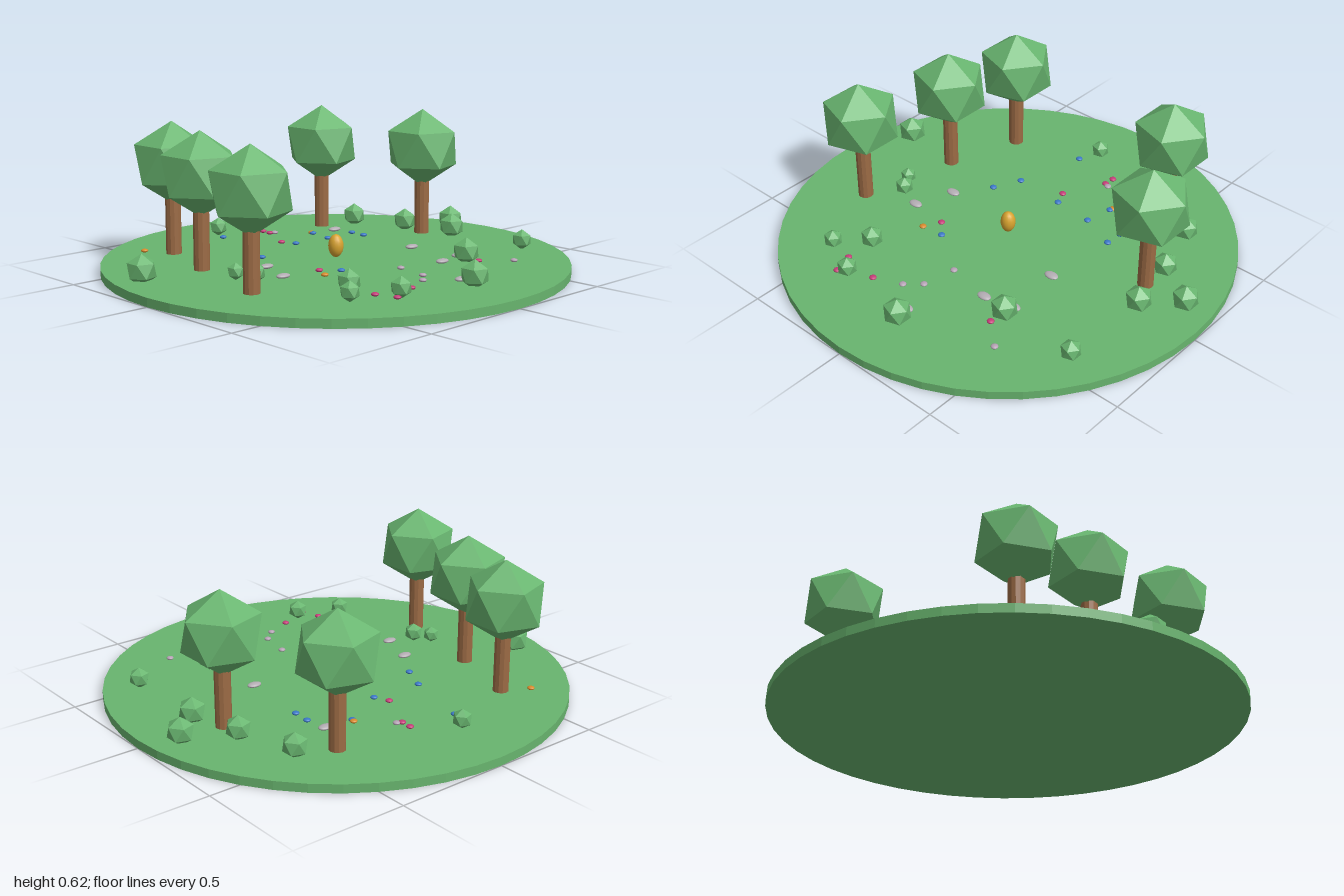
import * as THREE from 'three';

export function createModel() {
  const model = new THREE.Group();
  const mat = (name, color, flatShading = false) => {
    const m = new THREE.MeshStandardMaterial({ color, flatShading });
    m.name = name;
    return m;
  };
  const green = mat('leafGreen', 0x69b670, true);
  const grass = mat('grassGreen', 0x68b46e, true);
  const brown = mat('barkBrown', 0x9c6b45, true);
  const gold = mat('gold', 0xd9a430);
  const stoneGrey = mat('stoneGrey', 0xb4adb4);
  const petals = {
    pink: mat('petalPink', 0xc43c78),
    blue: mat('petalBlue', 0x3a78c6),
    orange: mat('petalOrange', 0xd98a2b),
    lilac: mat('petalLilac', 0xb5a2b4),
  };

  const add = (name, geometry, material, x, y, z, sx = 1, sy = sx, sz = sx) => {
    const mesh = new THREE.Mesh(geometry, material);
    mesh.name = name;
    mesh.position.set(x, y, z);
    mesh.scale.set(sx, sy, sz);
    model.add(mesh);
    return mesh;
  };

  // Round meadow disc
  const top = 0.037;
  add('ground', new THREE.CylinderGeometry(1, 1, top, 48), grass, 0, top / 2, 0);

  // Foliage: icosahedron turned so that one corner points straight up
  const leaf = new THREE.IcosahedronGeometry(1, 0);
  leaf.rotateZ(-Math.atan(2 / (1 + Math.sqrt(5))));

  // Trees
  const trunk = new THREE.CylinderGeometry(0.034, 0.034, 0.33, 12);
  [[-4, -5], [4, -5], [-5, -2], [-6, 2], [6, -1]].forEach(([x, z]) => {
    add('treeTrunk', trunk, brown, x / 9, top + 0.165, z / 9);
    add('treeCrown', leaf, green, x / 9, 0.438, z / 9, 0.18);
  });

  // Bushes: x, z, radius
  [
    [-0.06, -0.72, 0.042], [-0.84, -0.25, 0.066], [0.6, -0.49, 0.055],
    [0.87, -0.11, 0.06], [0.73, 0.02, 0.06], [0.68, -0.23, 0.055],
    [-0.585, 0.03, 0.036], [-0.54, 0.1, 0.042], [-0.375, 0.46, 0.05],
    [-0.49, 0.58, 0.042], [-0.305, 0.67, 0.045], [0.055, 0.73, 0.062],
    [0.36, 0.425, 0.06], [0.72, 0.44, 0.046],
  ].forEach(([x, z, r]) => add('bush', leaf, green, x, 0.078, z, r));

  // Golden egg in the middle
  const ball = new THREE.SphereGeometry(1, 16, 10);
  add('goldenEgg', ball, gold, 0, 0.09, 0, 0.033, 0.05, 0.033);

  // Flattened stones
  [
    [-0.365, -0.035], [-0.43, 0.14], [0.35, 0.12], [0.23, 0.405],
    [0.365, 0.375], [0.045, 0.67], [0.375, -0.395],
  ].forEach(([x, z]) => add('stone', ball, stoneGrey, x, 0.052, z, 0.033, 0.01, 0.022));

  // Flower heads by colour
  const flowers = {
    pink: [[0.11, -0.6], [0.107, -0.55], [0.01, -0.36], [-0.25, 0.16],
      [0.353, 0.5], [-0.375, 0.6], [-0.198, 0.625], [-0.347, 0.69]],
    blue: [[-0.11, -0.625], [-0.198, -0.31], [-0.257, -0.187], [0.037, -0.295],
      [0.22, -0.28], [0.39, -0.295], [0.385, -0.214], [0.246, -0.406], [-0.187, 0.225]],
    orange: [[0.251, -0.42], [-0.29, 0.235], [-0.54, -0.64]],
    lilac: [[0.02, 0.364], [-0.01, 0.513], [-0.075, 0.572], [0.465, 0.6], [0.128, -0.54]],
  };
  const head = new THREE.SphereGeometry(1, 10, 8);
  for (const [colour, spots] of Object.entries(flowers)) {
    spots.forEach(([x, z]) => add(colour + 'Flower', head, petals[colour], x, 0.05, z, 0.016, 0.008, 0.016));
  }
  return model;
}
